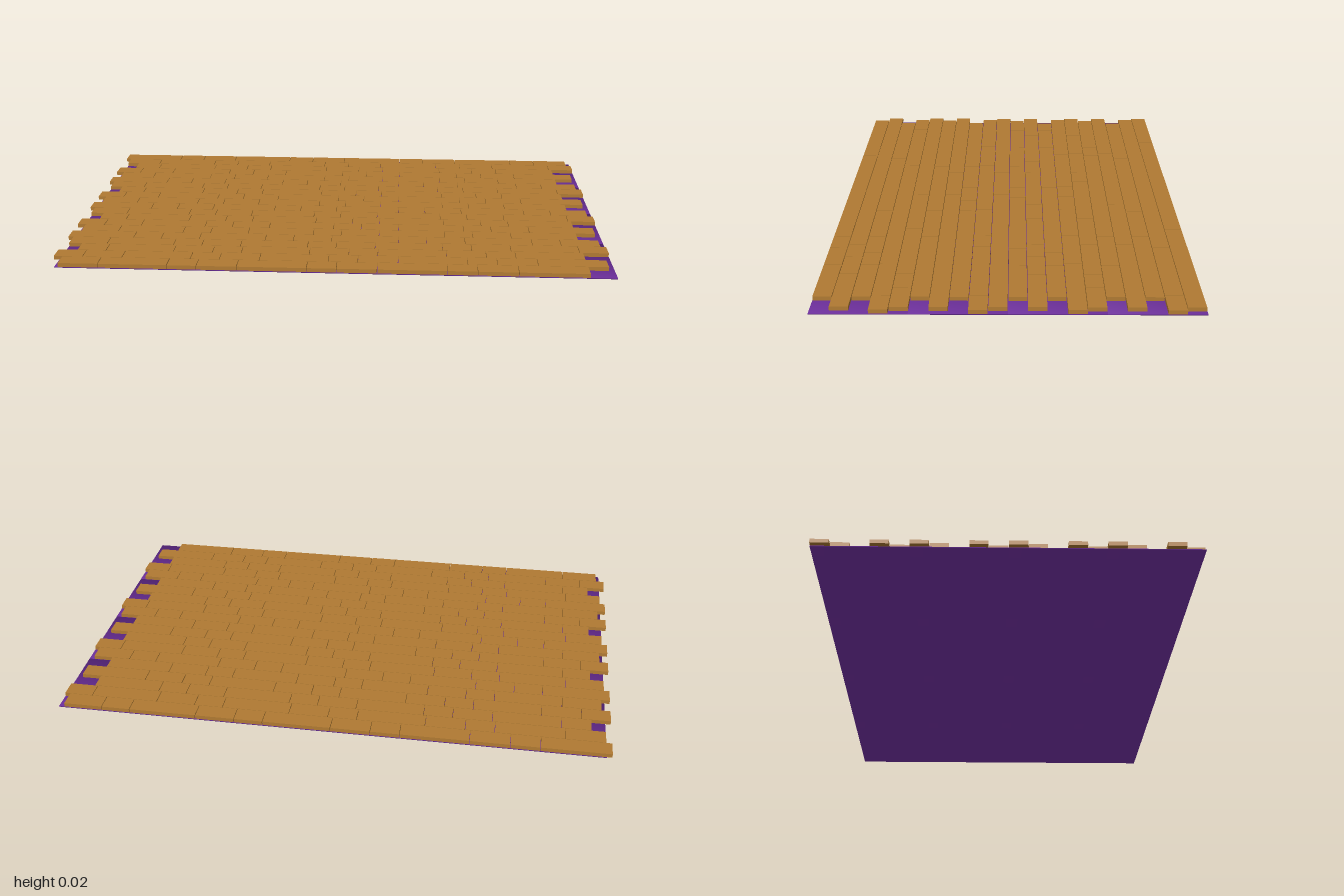
import * as THREE from 'three';

const TILES = 4;                 // tiles along each axis
const TILE_X = 0.495, TILE_Z = 0.3235;
const BASE_H = 0.003, TOP = 0.0175;
const X0 = -0.98, Z0 = -0.65;
const LENGTH = { S: 0.105, M: 0.143, L: 0.247 };

// Five courses per tile: brick order, start, and whether the last brick is left out
const COURSES = [
  { order: 'LSM', start: -1.0, trim: 0 },
  { order: 'MLS', start: -0.98, trim: 0 },
  { order: 'SLM', start: -0.93, trim: 1 },
  { order: 'SML', start: -1.0, trim: 0 },
  { order: 'MLS', start: -0.968, trim: 1 },
];

// Thin slab whose corner normals point diagonally outward, for soft shading
function softSlab(w, h, d) {
  const g = new THREE.BoxGeometry(w, h, d);
  const p = g.attributes.position, n = g.attributes.normal;
  const v = new THREE.Vector3();
  for (let i = 0; i < p.count; i++) {
    v.set(Math.sign(p.getX(i)), Math.sign(p.getY(i)), Math.sign(p.getZ(i))).normalize();
    n.setXYZ(i, v.x, v.y, v.z);
  }
  return g;
}

export function createModel() {
  const model = new THREE.Group();
  model.name = 'brickPavement';
  const purple = new THREE.MeshStandardMaterial({ color: 0x7030a0 });
  const brown = new THREE.MeshStandardMaterial({ color: 0xb07a32 });

  // Base tiles
  const base = new THREE.Group();
  base.name = 'baseTiles';
  const slab = softSlab(TILE_X, BASE_H, TILE_Z);
  for (let i = 0; i < TILES; i++) {
    for (let j = 0; j < TILES; j++) {
      const tile = new THREE.Mesh(slab, purple);
      tile.name = 'baseTile';
      tile.position.set(X0 + (i + 0.5) * TILE_X, BASE_H / 2, Z0 + (j + 0.5) * TILE_Z);
      base.add(tile);
    }
  }
  model.add(base);

  // Brick courses, repeated over the tiles
  const gap = 0.002, pitch = TILE_Z / COURSES.length, height = TOP - BASE_H;
  const bricks = {};
  for (const k in LENGTH) bricks[k] = new THREE.BoxGeometry(LENGTH[k] - gap, height, pitch - gap);
  for (let row = 0; row < TILES * COURSES.length; row++) {
    const { order, start, trim } = COURSES[row % COURSES.length];
    const course = new THREE.Group();
    course.name = 'brickCourse';
    const sequence = order.repeat(TILES);
    let x = start;
    for (const k of sequence.slice(0, sequence.length - trim)) {
      const brick = new THREE.Mesh(bricks[k], brown);
      brick.name = 'brick';
      brick.position.set(x + LENGTH[k] / 2, BASE_H + height / 2, Z0 + (row + 0.5) * pitch);
      course.add(brick);
      x += LENGTH[k];
    }
    model.add(course);
  }
  return model;
}
